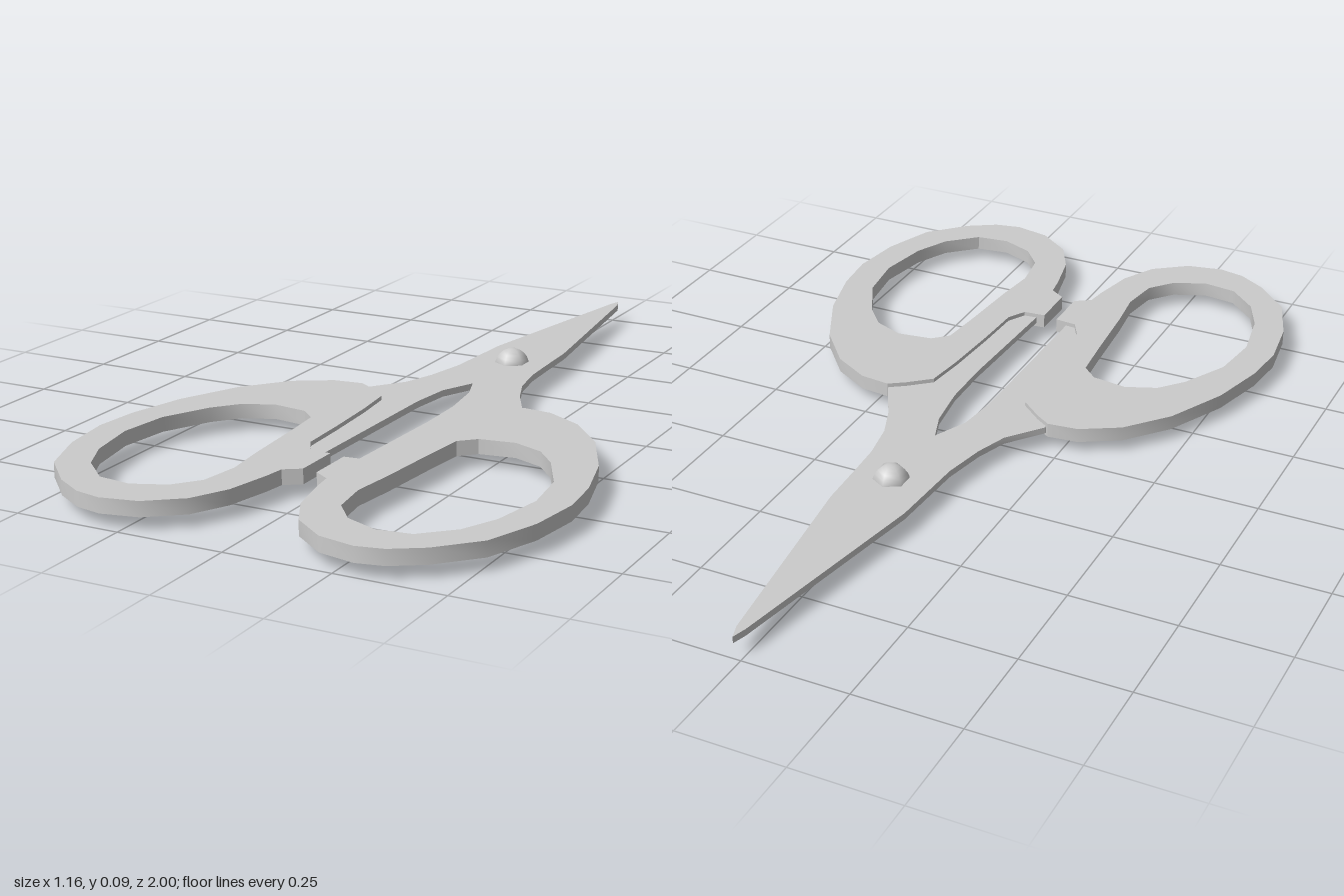
import * as THREE from 'three';
import { toCreasedNormals } from 'three/addons/utils/BufferGeometryUtils.js';

const material = new THREE.MeshStandardMaterial({ color: 0xcccccc });
const toPoints = (list) => list.map(([x, z]) => new THREE.Vector2(x, z));

// Flat plate lying on the ground plane: outline given as [x, z], between two heights
function plate(name, outline, hole, bottom, top) {
  const shape = new THREE.Shape(toPoints(outline));
  if (hole) shape.holes.push(new THREE.Path(toPoints(hole)));
  const geometry = new THREE.ExtrudeGeometry(shape, { depth: top - bottom, bevelEnabled: false });
  geometry.rotateX(Math.PI / 2).translate(0, top, 0);
  const mesh = new THREE.Mesh(toCreasedNormals(geometry, 0.6), material);
  mesh.name = name;
  return mesh;
}

export function createModel() {
  const group = new THREE.Group();
  group.name = 'scissors';

  // Blades and the two shanks that run back into the handles
  const bladeOutline = [
    [0.016, -1], [0.028, -0.965], [0.095, -0.45], [0.1, -0.33], [0.105, -0.238], [0.122, -0.143],
    [0.153, -0.063], [0.21, 0.043], [0.2, 0.1], [0.13, 0.2], [0.11, 0.5], [0.07, 0.54], [0.038, 0.54],
    [0.05, 0.21], [0.048, 0.08], [0.032, -0.037], [0.006, -0.11], [-0.032, -0.026], [-0.044, 0.08],
    [-0.048, 0.535], [-0.08, 0.535], [-0.12, 0.5], [-0.14, 0.2], [-0.2, 0.1], [-0.21, 0.036],
    [-0.143, -0.05], [-0.116, -0.13], [-0.095, -0.238], [-0.09, -0.33], [-0.084, -0.44], [0.006, -0.965],
  ];
  group.add(plate('blades', bladeOutline, null, 0.039, 0.055));

  // Finger loops, mirrored, each with a small stop tab facing the other
  const loopOutline = [
    [0.212, 0.045], [0.285, 0.053], [0.375, 0.105], [0.46, 0.205], [0.53, 0.35], [0.567, 0.49],
    [0.578, 0.6], [0.56, 0.73], [0.513, 0.857], [0.43, 0.942], [0.36, 0.985], [0.297, 0.998],
    [0.21, 0.98], [0.13, 0.92], [0.085, 0.836], [0.062, 0.73], [0.055, 0.68], [0.017, 0.655],
    [0.017, 0.54], [0.07, 0.535], [0.095, 0.49], [0.1, 0.37], [0.11, 0.22], [0.122, 0.116], [0.175, 0.07],
  ];
  const loopHole = [
    [0.307, 0.288], [0.222, 0.3], [0.185, 0.335], [0.175, 0.44], [0.162, 0.61], [0.15, 0.714],
    [0.164, 0.81], [0.212, 0.868], [0.29, 0.9], [0.37, 0.89], [0.44, 0.825], [0.48, 0.74],
    [0.503, 0.61], [0.487, 0.487], [0.43, 0.376], [0.38, 0.318],
  ];
  const mirror = (list) => list.map(([x, z]) => [-x - 0.003, z - 0.007]);
  group.add(plate('leftHandle', loopOutline, loopHole, 0.03, 0.065));
  group.add(plate('rightHandle', mirror(loopOutline), mirror(loopHole), 0.03, 0.065));

  // Pivot rivet: six-sided ball through the blades
  const rivet = new THREE.Mesh(new THREE.SphereGeometry(0.043, 6, 12), material);
  rivet.name = 'pivotRivet';
  rivet.rotation.y = Math.PI / 2;
  rivet.position.set(0.01, 0.046, -0.323);
  rivet.scale.y = 1.05;
  group.add(rivet);

  return group;
}
